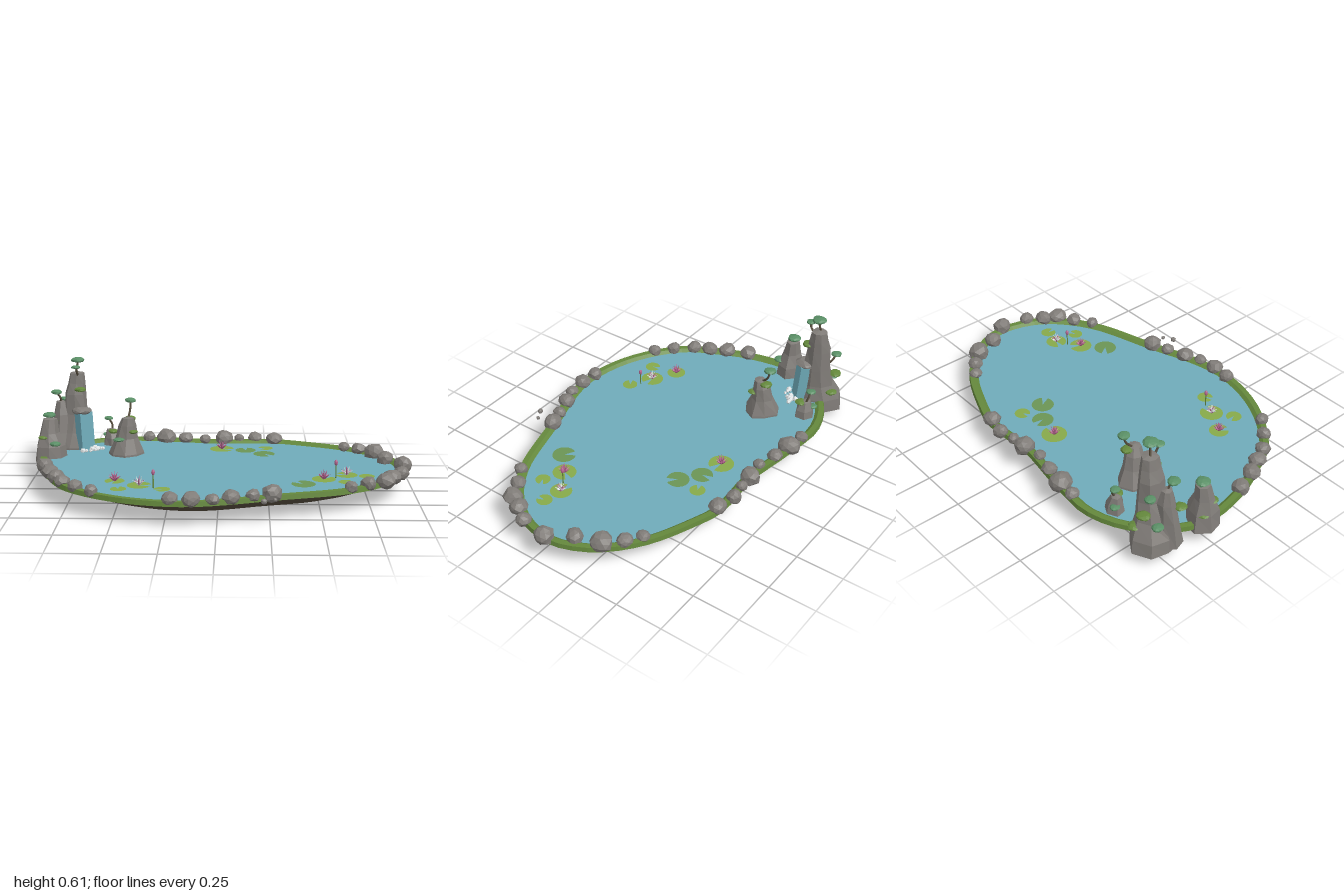
import * as THREE from 'three';

const mat = (name, color, side = THREE.FrontSide) => {
  const m = new THREE.MeshStandardMaterial({ color, flatShading: true, side });
  m.name = name;
  return m;
};

export function createModel() {
  const water = mat('water', 0x6fabb9, THREE.DoubleSide);
  const moss = mat('moss green', 0x64883c);
  const earth = mat('earth brown', 0x564d3d);
  const rock = mat('rock grey', 0x807c78);
  const pine = mat('pine green', 0x5a8f66);
  const pad = mat('pad green', 0x86a94a, THREE.DoubleSide);
  const padDark = mat('dark pad green', 0x6b9455, THREE.DoubleSide);
  const pink = mat('petal pink', 0xb5658f);
  const orange = mat('fish orange', 0xd9752b);
  const foam = mat('foam white', 0xdfe3e4);

  const model = new THREE.Group();
  model.name = 'pond';
  const group = (name) => {
    const g = new THREE.Group();
    g.name = name;
    model.add(g);
    return g;
  };
  const add = (parent, name, geo, material, x = 0, y = 0, z = 0) => {
    const m = new THREE.Mesh(geo, material);
    m.name = name;
    m.position.set(x, y, z);
    parent.add(m);
    return m;
  };
  let seed = 7;
  const rnd = () => (seed = (seed * 16807) % 2147483647) / 2147483647;

  // Skin over closed rings of points, listed from bottom to top
  const loft = (rings) => {
    const n = rings[0].length, idx = [];
    for (let i = 0; i < rings.length - 1; i++)
      for (let j = 0; j < n; j++) {
        const a = i * n + j, b = i * n + (j + 1) % n;
        idx.push(a, b, a + n, b, b + n, a + n);
      }
    const g = new THREE.BufferGeometry().setFromPoints(rings.flat());
    g.setIndex(idx);
    g.computeVertexNormals();
    return g;
  };
  // Pushes vertices in and out so a smooth solid turns into a stone
  const rough = (geo, amount, s) => {
    const p = geo.attributes.position, v = new THREE.Vector3();
    for (let i = 0; i < p.count; i++) {
      v.fromBufferAttribute(p, i);
      const u = v.clone().normalize();
      const h = Math.sin(Math.round(u.x * 50) * 1.7 + Math.round(u.y * 50) * 2.9 + Math.round(u.z * 50) * 4.1 + s * 5.3);
      v.multiplyScalar(1 + amount * h);
      p.setXYZ(i, v.x, v.y, v.z);
    }
    geo.computeVertexNormals();
    return geo;
  };

  // Shoreline
  const shore = new THREE.CatmullRomCurve3([
    [0.96, -0.05], [0.92, -0.2], [0.83, -0.33], [0.68, -0.45], [0.46, -0.55], [0.3, -0.6], [0, -0.59], [-0.21, -0.62],
    [-0.4, -0.645], [-0.53, -0.65], [-0.69, -0.6], [-0.84, -0.49], [-0.94, -0.34], [-0.96, -0.19], [-0.92, 0.03],
    [-0.85, 0.2], [-0.77, 0.35], [-0.64, 0.47], [-0.45, 0.575], [-0.26, 0.625], [-0.12, 0.63], [0.03, 0.6],
    [0.27, 0.52], [0.62, 0.41], [0.8, 0.29], [0.91, 0.15]
  ].map(([x, z]) => new THREE.Vector3(x, 0, z)), true);
  const N = 72;
  const inset = (d, y, scale = 1) => Array.from({ length: N }, (_, i) => {
    const p = shore.getPointAt(i / N), t = shore.getTangentAt(i / N);
    return new THREE.Vector3((p.x + t.z * d) * scale, y, (p.z - t.x * d) * scale);
  });

  // Basin, open below, with mossy bank and water
  add(model, 'basin', loft([inset(0, 0.03, 0.74), inset(0, 0.047, 0.81), inset(0, 0.075, 0.9), inset(0, 0.1, 0.965), inset(0, 0.105, 0.995)]), earth);
  add(model, 'bank', loft([inset(0, 0.1), inset(0.004, 0.124), inset(0.032, 0.124), inset(0.052, 0.108)]), moss);
  const surface = new THREE.ShapeGeometry(new THREE.Shape(inset(0.048, 0).map((p) => new THREE.Vector2(p.x, -p.z))));
  add(model, 'waterSurface', surface.rotateX(-Math.PI / 2), water, 0, 0.11, 0);

  // Stones along the bank: x, z, radius
  const stones = group('bankStones');
  [[-0.41, -0.62, 0.034], [-0.31, -0.61, 0.054], [-0.2, -0.59, 0.038], [-0.09, -0.565, 0.03], [0.015, -0.58, 0.05],
    [0.1, -0.585, 0.028], [0.19, -0.6, 0.038], [0.295, -0.575, 0.044], [0.675, -0.41, 0.032], [0.75, -0.36, 0.038],
    [0.825, -0.28, 0.053], [0.87, -0.155, 0.043], [0.948, -0.035, 0.048], [0.92, 0.12, 0.038], [0.865, 0.2, 0.043],
    [0.825, 0.27, 0.048], [0.735, 0.32, 0.038], [0.645, 0.38, 0.032], [0.26, 0.5, 0.047], [0.17, 0.53, 0.034],
    [0.067, 0.565, 0.043], [-0.02, 0.6, 0.032], [-0.12, 0.608, 0.043], [-0.22, 0.598, 0.038], [-0.605, 0.47, 0.034],
    [-0.69, 0.395, 0.036], [-0.77, 0.305, 0.038], [-0.81, 0.225, 0.042], [-0.855, 0.135, 0.044], [-0.9, 0.02, 0.043],
    [0.22, 0.62, 0.014], [0.272, 0.59, 0.01]
  ].forEach(([x, z, r], i) => {
    const m = add(stones, 'stone', rough(new THREE.IcosahedronGeometry(r, 1), 0.09, i), rock, x, 0.125 + r * 0.12, z);
    m.scale.set(1.04, 0.92, 1.04);
    m.rotation.y = i * 1.3;
  });

  // Rock spires from levels of x, z, radius, height
  const spires = group('rockSpires');
  const spire = (name, levels, sides = 8) => {
    const ridge = Array.from({ length: sides }, () => 0.86 + rnd() * 0.26);
    const ring = ([x, z, r, y]) => ridge.map((k, j) => {
      const a = j / sides * Math.PI * 2, q = r * (k + (rnd() - 0.5) * 0.12);
      return new THREE.Vector3(x + Math.sin(a) * q, y, z + Math.cos(a) * q);
    });
    const first = levels[0], last = levels[levels.length - 1];
    add(spires, name, loft([[first[0], first[1], 0, first[3]], ...levels, [last[0], last[1], 0, last[3] + 0.008]].map(ring)), rock);
  };
  spire('tallSpire', [[-0.835, -0.485, 0.12, 0.05], [-0.83, -0.48, 0.115, 0.12], [-0.815, -0.475, 0.088, 0.2],
    [-0.8, -0.475, 0.07, 0.3], [-0.8, -0.475, 0.062, 0.41], [-0.792, -0.475, 0.05, 0.47], [-0.79, -0.475, 0.04, 0.525]]);
  spire('shoulderSpire', [[-0.89, -0.44, 0.075, 0.07], [-0.885, -0.445, 0.06, 0.2], [-0.88, -0.45, 0.045, 0.3], [-0.88, -0.45, 0.026, 0.37]], 7);
  spire('leaningSpire', [[-0.91, -0.25, 0.085, 0.08], [-0.91, -0.25, 0.075, 0.17], [-0.915, -0.25, 0.05, 0.24], [-0.91, -0.255, 0.036, 0.315]], 7);
  spire('waterSpire', [[-0.513, -0.315, 0.11, 0], [-0.51, -0.315, 0.092, 0.12], [-0.505, -0.315, 0.062, 0.2],
    [-0.5, -0.31, 0.048, 0.27], [-0.497, -0.305, 0.032, 0.31]]);
  spire('lowSpire', [[-0.61, -0.52, 0.055, 0.09], [-0.61, -0.52, 0.045, 0.15], [-0.615, -0.52, 0.026, 0.195]], 6);

  // Waterfall under a stone ledge, with foam at its foot
  const fall = add(model, 'waterfall', new THREE.BoxGeometry(0.085, 0.205, 0.05), water, -0.748, 0.212, -0.412);
  fall.rotation.set(-0.08, Math.PI / 4, 0, 'YXZ');
  const ledge = add(spires, 'waterfallLedge', rough(new THREE.IcosahedronGeometry(0.055, 1), 0.08, 3), rock, -0.765, 0.322, -0.425);
  ledge.scale.y = 0.42;
  const splash = group('foam');
  for (let i = 0; i < 14; i++) {
    const s = (rnd() - 0.5) * 0.13, d = rnd() * 0.05;
    add(splash, 'foamBlob', new THREE.IcosahedronGeometry(0.009 + rnd() * 0.009, 0), foam, -0.725 + s * 0.7 + d * 0.7, 0.116, -0.392 - s * 0.7 + d * 0.7);
  }

  // Flat-topped trees: foot, crown centre, crown radius
  const trees = group('trees');
  const crown = (x, y, z, r, material) => {
    const m = add(trees, 'crown', rough(new THREE.IcosahedronGeometry(r, 1), 0.08, x * 9), material, x, y, z);
    m.scale.y = 0.38;
  };
  const tree = (foot, top, r, material) => {
    const a = new THREE.Vector3(...foot), b = new THREE.Vector3(...top);
    const bend = a.clone().lerp(b, 0.5).add(new THREE.Vector3((a.x - b.x) * 0.2 + 0.006, 0, (b.z - a.z) * 0.3));
    add(trees, 'trunk', new THREE.TubeGeometry(new THREE.CatmullRomCurve3([a, bend, b]), 6, 0.006, 5), earth);
    crown(...top, r, material);
  };
  tree([-0.8, 0.52, -0.48], [-0.785, 0.597, -0.47], 0.038, pine);
  tree([-0.79, 0.5, -0.46], [-0.79, 0.565, -0.42], 0.025, pine);
  tree([-0.88, 0.36, -0.45], [-0.9, 0.425, -0.43], 0.032, pine);
  tree([-0.83, 0.31, -0.51], [-0.875, 0.365, -0.545], 0.028, pine);
  tree([-0.91, 0.29, -0.25], [-0.915, 0.335, -0.26], 0.036, pine);
  tree([-0.5, 0.3, -0.31], [-0.49, 0.395, -0.365], 0.032, pine);
  tree([-0.61, 0.18, -0.52], [-0.63, 0.255, -0.54], 0.026, pine);
  // Bushes clinging to the rock sides: x, y, z, radius
  [[-0.77, 0.44, -0.43, 0.034], [-0.85, 0.26, -0.56, 0.034], [-0.9, 0.2, -0.52, 0.03], [-0.92, 0.27, -0.4, 0.03],
    [-0.94, 0.22, -0.22, 0.03], [-0.88, 0.19, -0.2, 0.032], [-0.95, 0.17, -0.28, 0.03], [-0.49, 0.3, -0.345, 0.032],
    [-0.545, 0.2, -0.26, 0.03], [-0.47, 0.24, -0.28, 0.026], [-0.6, 0.19, -0.5, 0.03], [-0.64, 0.16, -0.55, 0.026],
    [-0.8, 0.17, -0.57, 0.032]
  ].forEach(([x, y, z, r], i) => crown(x, y, z, r, i % 3 === 2 ? pine : moss));

  // Lily pads: x, z, radius, material, flower material
  const lilies = group('waterLilies');
  const flower = (x, z, material) => {
    [[9, 0.95, 0.04], [6, 0.4, 0.045]].forEach(([n, tilt, len]) => {
      for (let i = 0; i < n; i++) {
        const petal = new THREE.ConeGeometry(0.007, len, 4).translate(0, len / 2, 0).rotateX(tilt);
        add(lilies, 'petal', petal.rotateY(i / n * Math.PI * 2), i % 3 ? material : pink, x, 0.121, z);
      }
    });
    add(lilies, 'flowerHeart', new THREE.IcosahedronGeometry(0.007, 0), orange, x, 0.13, z);
  };
  [[0.005, -0.4, 0.065, pad, pink], [0.135, -0.372, 0.055, padDark], [0.245, -0.42, 0.04, pad], [0.235, -0.295, 0.058, padDark],
    [0.525, 0.197, 0.06, pad, pink], [0.645, 0.118, 0.055, pad, foam], [0.745, 0.14, 0.04, pad], [0.632, 0.247, 0.038, pad],
    [0.42, 0.288, 0.06, padDark], [-0.515, 0.252, 0.05, pad, pink], [-0.387, 0.325, 0.06, pad, foam], [-0.483, 0.392, 0.04, pad],
    [-0.27, 0.392, 0.04, pad]
  ].forEach(([x, z, r, material, bloom], i) => {
    const leaf = new THREE.CircleGeometry(r, 22, i * 1.9, Math.PI * 2 - 0.55).rotateX(-Math.PI / 2);
    add(lilies, 'lilyPad', leaf, material, x, 0.117, z);
    if (bloom) flower(x, z, bloom);
  });
  // Buds on tall stems
  [[0.588, 0.153], [-0.315, 0.352]].forEach(([x, z]) => {
    add(lilies, 'budStem', new THREE.CylinderGeometry(0.003, 0.003, 0.075, 5), moss, x, 0.147, z);
    add(lilies, 'bud', new THREE.IcosahedronGeometry(0.009, 1), pink, x, 0.19, z).scale.y = 1.7;
  });

  // Fish under the surface: x, z, heading
  const shoal = group('fish');
  [[0.54, -0.07, 0.5], [0.31, 0.02, 2], [0.03, -0.2, 1.2], [0.19, 0.32, 2.6], [-0.06, 0.34, 0.3], [-0.13, 0.11, 1.5],
    [-0.34, 0.18, 2.9], [-0.54, 0.31, 0.2], [-0.28, 0.24, 1]
  ].forEach(([x, z, turn], i) => {
    const fish = new THREE.Group();
    fish.name = 'koi';
    fish.position.set(x, 0.07, z);
    fish.rotation.y = turn;
    const body = i % 4 === 2 ? foam : orange;
    add(fish, 'body', new THREE.IcosahedronGeometry(0.025, 1), body).scale.set(1.2, 0.4, 0.4);
    add(fish, 'tail', new THREE.ConeGeometry(0.013, 0.026, 4).rotateZ(-Math.PI / 2), body, -0.036).scale.y = 0.4;
    add(fish, 'backPatch', new THREE.IcosahedronGeometry(0.011, 0), body === foam ? orange : foam, 0.012).scale.set(0.6, 0.95, 0.95);
    shoal.add(fish);
  });

  return model;
}
